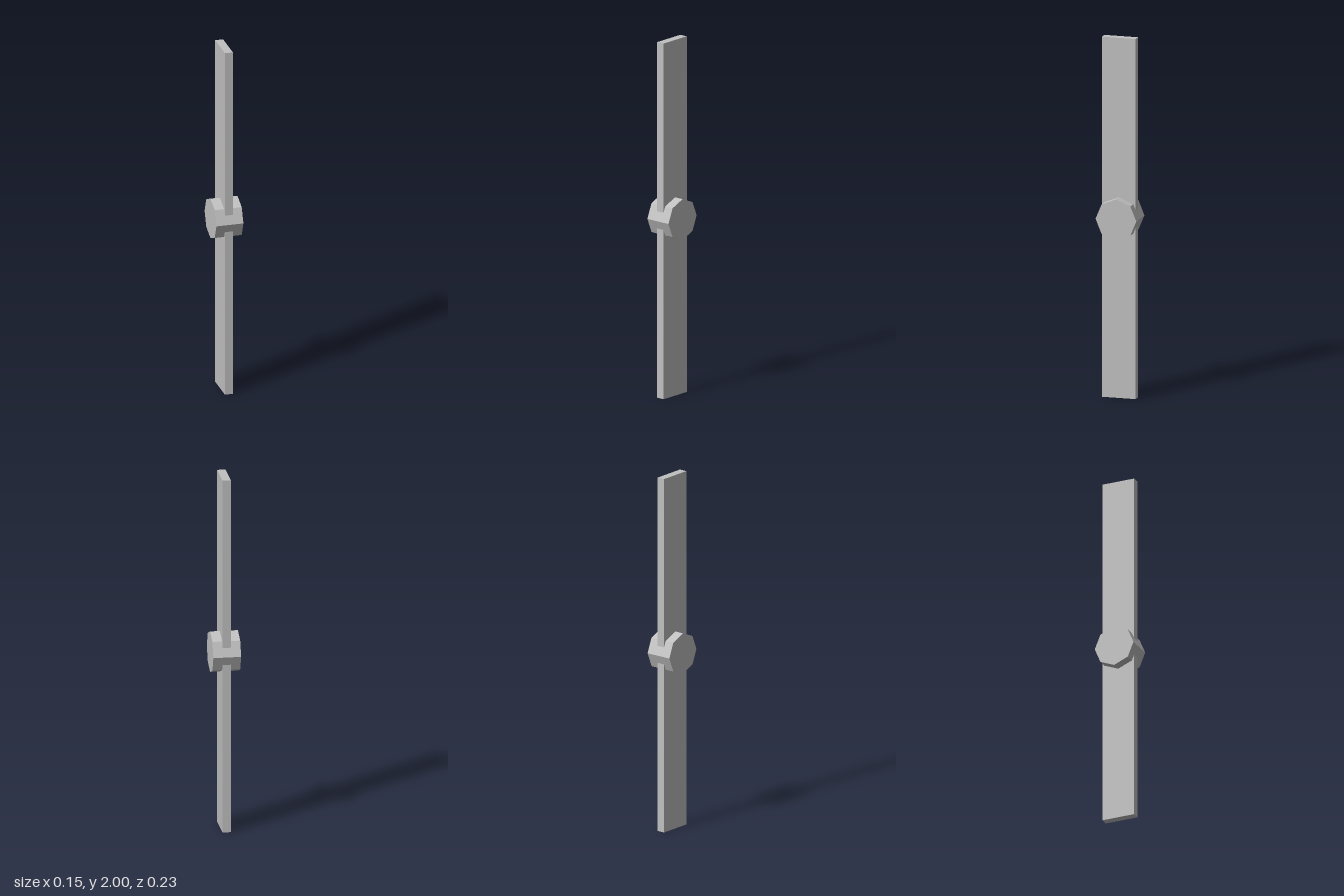
import * as THREE from 'three';

export function createModel() {
  const group = new THREE.Group();
  const grey = new THREE.MeshStandardMaterial({ color: 0xc0c0c0, flatShading: true });
  grey.name = 'light grey';

  // Two flat blades, meeting inside the hub
  for (const [name, side] of [['upperBlade', 1], ['lowerBlade', -1]]) {
    const blade = new THREE.Mesh(new THREE.BoxGeometry(0.045, 1, 0.19), grey);
    blade.name = name;
    blade.position.y = 1 + side * 0.5;
    group.add(blade);
  }

  // Octagonal hub lying along x
  const hub = new THREE.Mesh(new THREE.CylinderGeometry(0.115, 0.115, 0.152, 8), grey);
  hub.name = 'hub';
  hub.rotation.z = Math.PI / 2;
  hub.position.y = 1;
  group.add(hub);

  return group;
}
